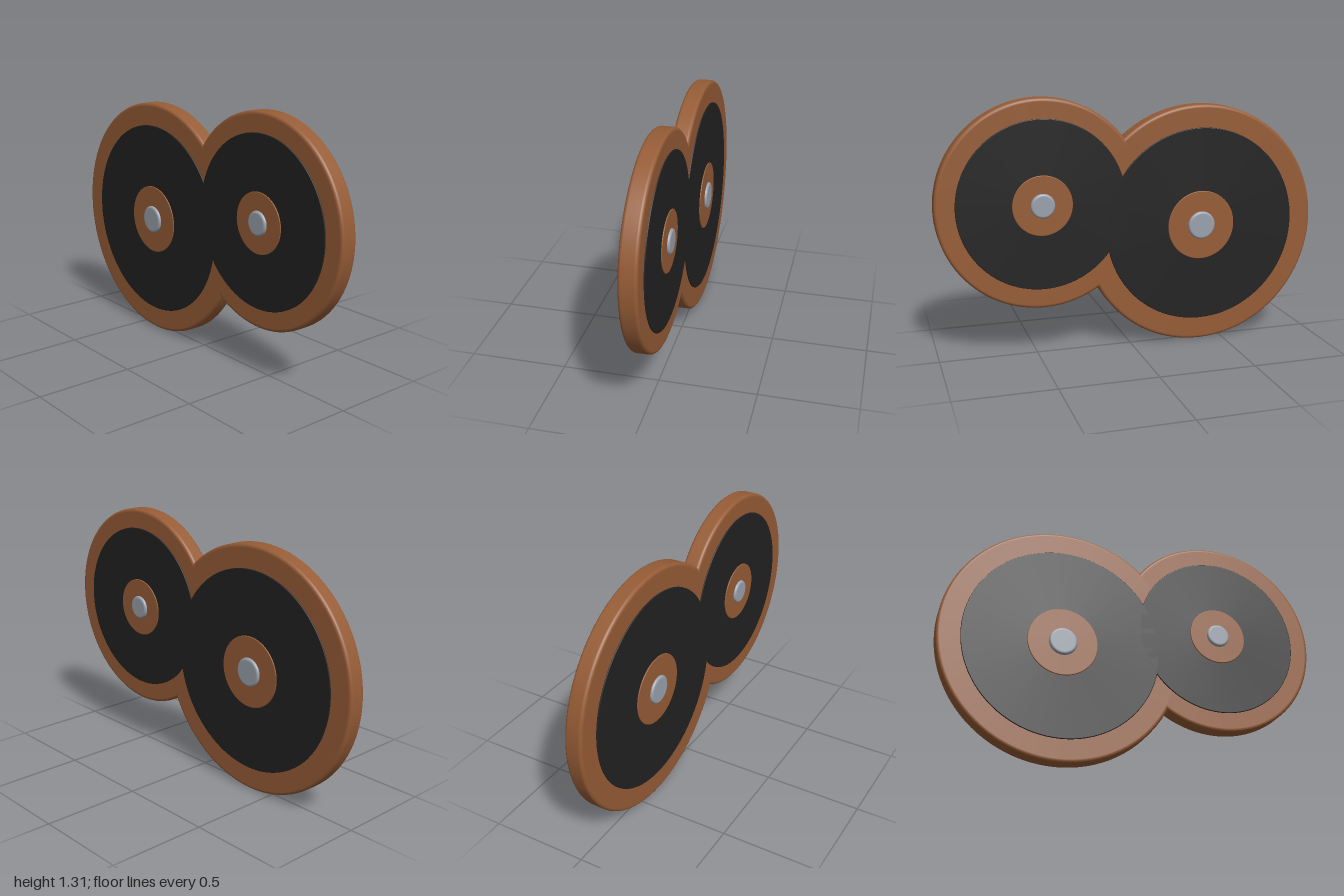
import * as THREE from 'three';

const material = (name, color) => {
  const m = new THREE.MeshStandardMaterial({ color });
  m.name = name;
  return m;
};

// Disc facing z with rounded rims: radius r, half thickness h, rim rounding b
function disc(name, r, h, b, mat) {
  const points = [new THREE.Vector2(0, -h), new THREE.Vector2(r - b - 0.002, -h)];
  const steps = 6;
  for (const side of [-1, 1]) {
    for (let i = 0; i <= steps; i++) {
      const t = (i / steps) * Math.PI / 2;
      const a = side < 0 ? t - Math.PI / 2 : t;
      points.push(new THREE.Vector2(r - b + b * Math.cos(a), side * (h - b) + b * Math.sin(a)));
    }
  }
  points.push(new THREE.Vector2(r - b - 0.002, h), new THREE.Vector2(0, h));
  const geometry = new THREE.LatheGeometry(points, 96);
  geometry.rotateX(Math.PI / 2);
  const mesh = new THREE.Mesh(geometry, mat);
  mesh.name = name;
  return mesh;
}

export function createModel() {
  const model = new THREE.Group();
  model.name = 'doubleDisc';
  const brown = material('brown leather', 0x965c36);
  const black = material('black face', 0x222222);
  const silver = material('silver metal', 0x9aa1ac);

  // Each unit: rim body, dark face, raised hub and rivet, visible on both sides
  const units = [
    { name: 'largeDisc', x: -0.373, y: 0.632, radii: [0.628, 0.51, 0.181, 0.073] },
    { name: 'smallDisc', x: 0.466, y: 0.786, radii: [0.532, 0.431, 0.153, 0.062] },
  ];
  for (const { name, x, y, radii } of units) {
    const unit = new THREE.Group();
    unit.name = name;
    unit.add(
      disc('rimBody', radii[0], 0.045, 0.016, brown),
      disc('darkFace', radii[1], 0.05, 0.003, black),
      disc('hub', radii[2], 0.055, 0.003, brown),
      disc('rivet', radii[3], 0.068, 0.012, silver),
    );
    unit.position.set(x, y, 0);
    model.add(unit);
  }
  return model;
}
